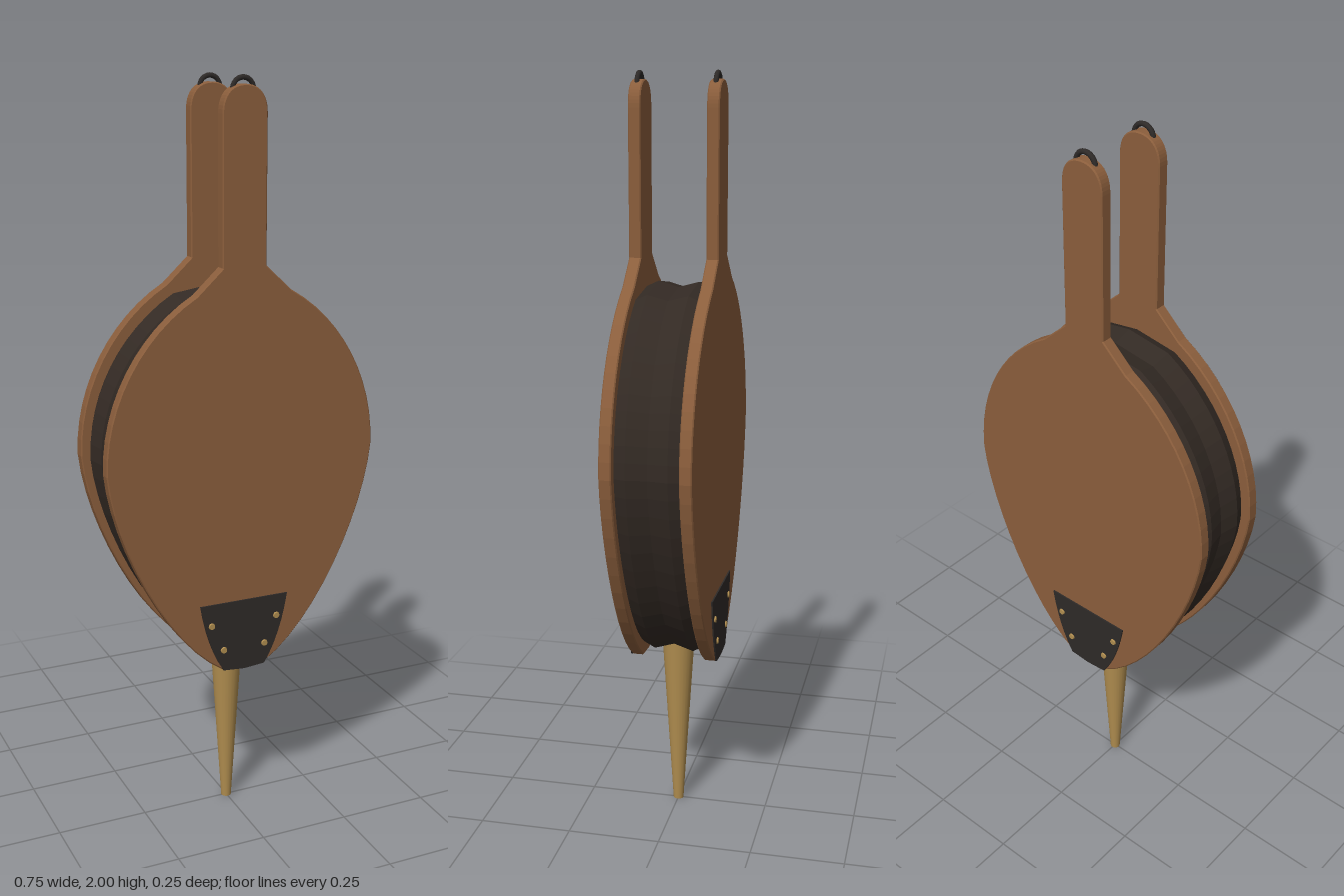
import * as THREE from 'three';

const mat = (color, extra = {}) => new THREE.MeshStandardMaterial({ color, ...extra });

// Right half of the teardrop, from the throat up to the shoulder
function traceRightSide(s) {
  s.moveTo(0, 0.45);
  s.lineTo(0.06, 0.455);
  s.bezierCurveTo(0.22, 0.55, 0.36, 0.85, 0.376, 1.04);
  s.bezierCurveTo(0.378, 1.22, 0.28, 1.39, 0.13, 1.475);
}

// Mirror a right-hand outline into a closed counter-clockwise loop
function mirrored(points) {
  const left = points.filter(p => p.x > 1e-6).reverse().map(p => new THREE.Vector2(-p.x, p.y));
  return [...points, ...left];
}

function boardOutline() {
  const s = new THREE.Shape();
  traceRightSide(s);
  s.lineTo(0.06, 1.54);
  s.lineTo(0.06, 1.91);
  s.bezierCurveTo(0.06, 1.95, 0.04, 1.978, 0, 1.978);
  return mirrored(s.getPoints(12));
}

function extrude(points, depth, bevel = 0) {
  return new THREE.ExtrudeGeometry(new THREE.Shape(points), {
    depth: depth - 2 * bevel, bevelEnabled: bevel > 0, bevelSize: bevel,
    bevelThickness: bevel, bevelOffset: -bevel, bevelSegments: 1,
  }).translate(0, 0, bevel);
}

// Pleated leather wall: scaled copies of the teardrop joined ring to ring
function bellowsGeometry() {
  const s = new THREE.Shape();
  traceRightSide(s);
  s.lineTo(0, 1.495);
  const loop = mirrored(s.getPoints(12));
  const rings = [[-0.085, 0.93], [-0.053, 0.96], [0, 0.93], [0.053, 0.96], [0.085, 0.93]];
  const pos = [], index = [], n = loop.length;
  rings.forEach(([z, k], r) => {
    loop.forEach((p, i) => {
      pos.push(p.x * k, 1 + (p.y - 1) * k, z);
      if (r === rings.length - 1) return;
      const a = r * n + i, b = r * n + (i + 1) % n;
      index.push(a, b, b + n, a, b + n, a + n);
    });
  });
  const g = new THREE.BufferGeometry();
  g.setAttribute('position', new THREE.Float32BufferAttribute(pos, 3));
  g.setIndex(index);
  g.computeVertexNormals();
  return g;
}

export function createModel() {
  const group = new THREE.Group();
  const wood = mat(0x8b5e3c), brass = mat(0xb08d4f), iron = mat(0x2e2a28);
  const leather = mat(0x332a24, { flatShading: true, side: THREE.DoubleSide });
  const add = (parent, name, geo, material) => {
    const m = new THREE.Mesh(geo, material);
    m.name = name;
    parent.add(m);
    return m;
  };

  add(group, 'bellowsLeather', bellowsGeometry(), leather);

  // Hollow tapering nozzle
  const profile = [[0, 0.5], [0.045, 0.5], [0.014, 0], [0.009, 0], [0.009, 0.06], [0, 0.06]]
    .map(([x, y]) => new THREE.Vector2(x, y)).reverse();
  const nozzleGeo = new THREE.LatheGeometry(profile.slice(3, 5), 24);
  add(group, 'nozzle', nozzleGeo, brass);
  const rim = add(group, 'nozzleRim', new THREE.RingGeometry(0.009, 0.014, 24), brass);
  rim.rotation.x = Math.PI / 2;
  const bore = add(group, 'nozzleBore', new THREE.CircleGeometry(0.012, 24), iron);
  bore.rotation.x = Math.PI / 2;
  bore.position.y = 0.004;

  // Throat plate outline with slightly bowed sides
  const p = new THREE.Shape();
  p.moveTo(0, 0.45);
  p.lineTo(0.06, 0.455);
  p.quadraticCurveTo(0.108, 0.53, 0.127, 0.65);
  p.lineTo(0, 0.65);
  const plateOutline = mirrored(p.getPoints(6));

  // Front and back sides are the same assembly turned half round
  for (const [name, angle] of [['front', 0], ['back', Math.PI]]) {
    const side = new THREE.Group();
    side.name = name + 'Side';
    side.rotation.y = angle;
    group.add(side);

    add(side, 'board', extrude(boardOutline(), 0.032, 0.003), wood).position.z = 0.084;
    add(side, 'throatPlate', extrude(plateOutline, 0.005), iron).position.z = 0.115;

    for (const sx of [-1, 1]) for (const [x, y] of [[0.095, 0.59], [0.06, 0.515]]) {
      const rivet = add(side, 'rivet', new THREE.CylinderGeometry(0.008, 0.01, 0.006, 12), brass);
      rivet.rotation.x = Math.PI / 2;
      rivet.position.set(sx * x, y, 0.121);
    }

    // Hanging loop on the handle end
    add(side, 'hangingLoop', new THREE.TorusGeometry(0.028, 0.0065, 8, 24), iron)
      .position.set(0, 1.9655, 0.1);
  }
  return group;
}
